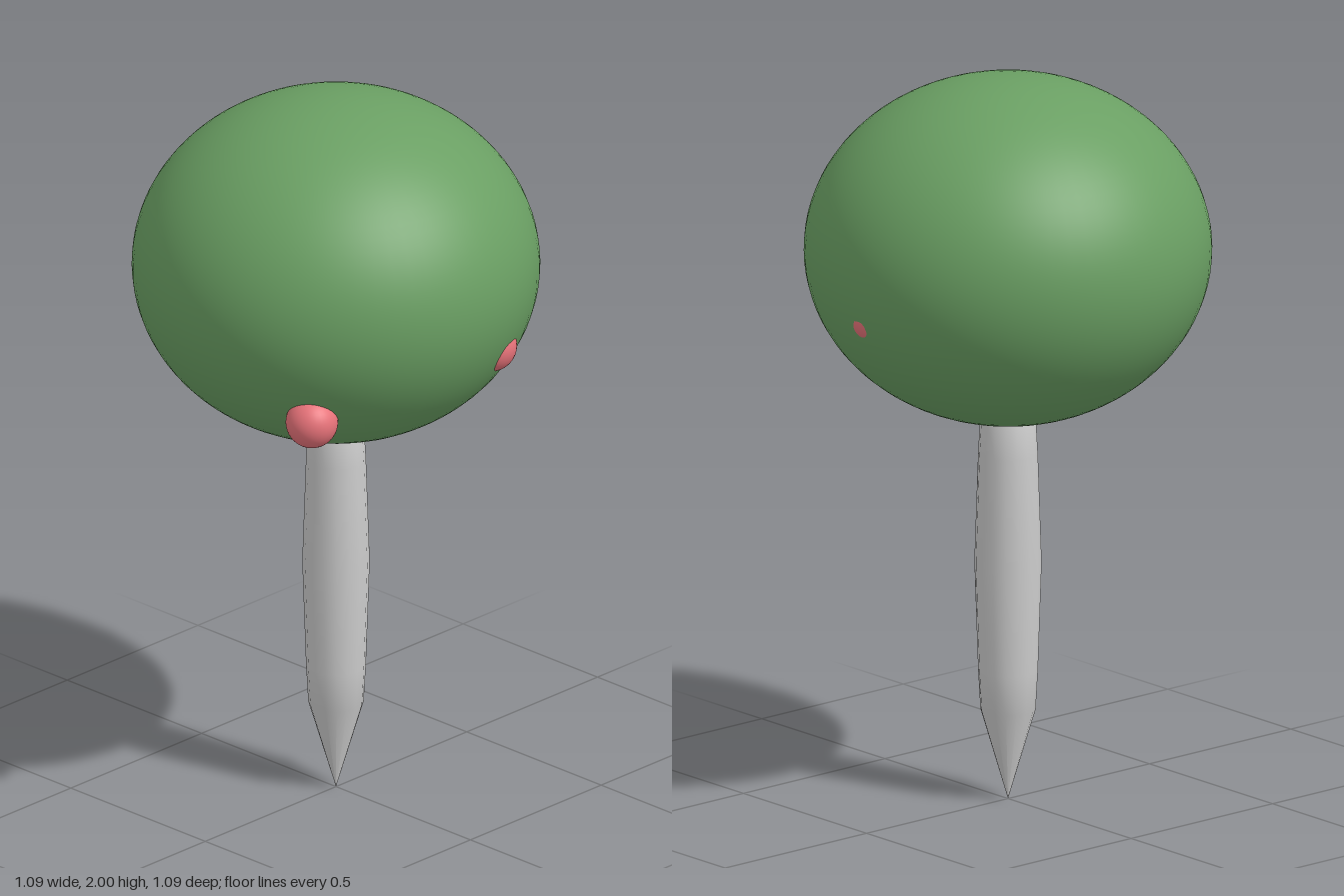
import * as THREE from 'three';

const leafMat = new THREE.MeshStandardMaterial({ color: 0x6a9f63 });
const fruitMat = new THREE.MeshStandardMaterial({ color: 0xe8737a });
const woodMat = new THREE.MeshStandardMaterial({ color: 0xcccccc });

export function createModel() {
  const tree = new THREE.Group();
  tree.name = 'fruitTree';

  const add = (name, geometry, material, x, y, z) => {
    const mesh = new THREE.Mesh(geometry, material);
    mesh.name = name;
    mesh.position.set(x, y, z);
    tree.add(mesh);
    return mesh;
  };

  // Slightly flattened round crown
  const crown = add('crown', new THREE.SphereGeometry(1, 64, 48), leafMat, 0, 1.53, 0);
  crown.scale.set(0.545, 0.47, 0.545);

  // Trunk: swollen in the middle, pointed at the foot, closed inside the crown
  const profile = [[0, 0], [0.074, 0.25], [0.08, 0.36], [0.09, 0.66], [0.08, 0.96], [0.074, 1.07], [0, 1.32]]
    .map(([r, y]) => new THREE.Vector2(r, y));
  add('trunk', new THREE.LatheGeometry(profile, 16), woodMat, 0, 0, 0);

  // Three equal fruits, sunk to different depths in the crown
  const fruitGeo = new THREE.SphereGeometry(0.07, 32, 24);
  [[-0.375, 1.27, 0.275], [0.141, 1.38, 0.439], [0.462, 1.425, 0]]
    .forEach(([x, y, z], i) => add(`fruit${i + 1}`, fruitGeo, fruitMat, x, y, z));

  return tree;
}
